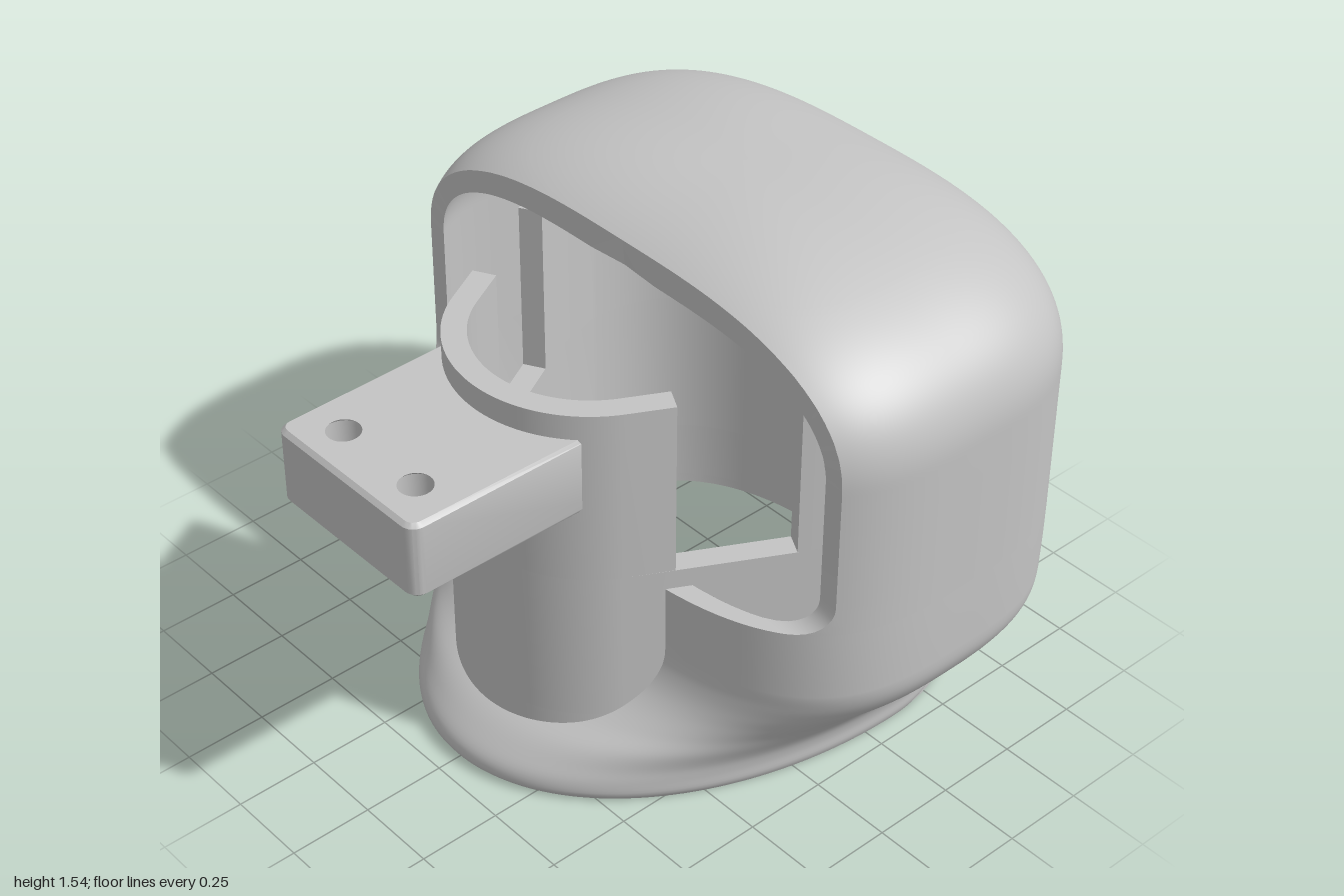
import * as THREE from 'three';
import { mergeVertices, toCreasedNormals } from 'three/addons/utils/BufferGeometryUtils.js';

const ZC = -0.36;        // depth of the widest section
const WALL = 0.07;
const CUT = 0.06;        // plane of the hood opening
const SILL = 0.64;       // height of the front rim
const SHOULDER = 1.1;    // where the dome starts

// Flare profile: y, half width, front z, back z, front exponent, back exponent
const FLARE = [
  [0, 0.69, 0.67, -0.9, 2, 2.05], [0.02, 0.698, 0.685, -0.908, 2, 2.05], [0.06, 0.7, 0.68, -0.91, 2, 2.07],
  [0.1, 0.712, 0.645, -0.915, 2.03, 2.15], [0.15, 0.745, 0.58, -0.925, 2.12, 2.3],
  [0.2, 0.788, 0.48, -0.94, 2.27, 2.48], [0.25, 0.837, 0.395, -0.955, 2.47, 2.67],
  [0.3, 0.88, 0.335, -0.97, 2.7, 2.83], [0.36, 0.912, 0.295, -0.983, 2.95, 2.95],
  [0.42, 0.92, 0.28, -0.99, 3.15, 3], [SILL, 0.92, 0.28, -1, 3.2, 3],
];

// Rounded section: angle 0 is the front, PI/2 is +x
function sectionPoint(t, a, zf, zb, nf, nb) {
  const s = Math.sin(t), c = Math.cos(t);
  const n = c > 0 ? nf : nb, b = c > 0 ? zf - ZC : ZC - zb;
  const r = 1 / Math.pow(Math.abs(s) ** n + Math.abs(c) ** n, 1 / n);
  return [a * r * s, ZC + b * r * c];
}

function flareAt(y) {
  let i = 0;
  while (i < FLARE.length - 2 && y > FLARE[i + 1][0]) i++;
  // Cubic blend through the neighbouring profile rows
  const p = [i - 1, i, i + 1, i + 2].map(k => FLARE[Math.min(FLARE.length - 1, Math.max(0, k))]);
  const h = p[2][0] - p[1][0], u = (y - p[1][0]) / h;
  return [1, 2, 3, 4, 5].map(k => {
    const m1 = (p[2][k] - p[0][k]) / (p[2][0] - p[0][0]) * h;
    const m2 = (p[3][k] - p[1][k]) / (p[3][0] - p[1][0]) * h;
    return (2 * u ** 3 - 3 * u * u + 1) * p[1][k] + (u ** 3 - 2 * u * u + u) * m1
      + (3 * u * u - 2 * u ** 3) * p[2][k] + (u ** 3 - u * u) * m2;
  });
}

// Liner outline: front arc, straight flanks, rounded back; d is the inset
const ARC_Z = 0.17, ARC_R = 0.4, ARC_END = 1.072;
const flankX = (z, d) => 0.4 + 0.545 * (0.27 - z) - 1.14 * d;
const flank = (z, d) => [flankX(z, d), z];
function linerArc(d) {
  return Array.from({ length: 25 }, (_, i) => {
    const t = ARC_END * i / 24;
    return [(ARC_R - d) * Math.sin(t), ARC_Z + (ARC_R - d) * Math.cos(t)];
  });
}
function linerBack(d) {
  return Array.from({ length: 41 }, (_, i) =>
    sectionPoint(Math.PI / 2 + Math.PI / 2 * i / 40, 0.69 - d, 0, -0.87 + d, 2.35, 2.35));
}
const linerHalf = d => [...linerArc(d), flank(-0.1, d), flank(-0.19, d), ...linerBack(d)];
const insideLiner = (x, z) =>
  Math.hypot(x, z - ARC_Z) < ARC_R - 0.03 || (z < 0.36 && z > -0.1 && x < flankX(z, 0.03));

const mirrorX = pts => pts.map(([x, z]) => [-x, z]).reverse();
const toV2 = pts => pts.map(([x, z]) => new THREE.Vector2(x, -z));
const closedLoop = half => [...half, ...mirrorX(half).slice(1, -1)];
// Closed outline of a mirrored wall, from half outlines starting at x = 0
const strip = (o, i) => [...o, ...i.slice().reverse(), ...mirrorX(i).reverse().slice(1), ...mirrorX(o).slice(0, -1)];

// Plan outline extruded upwards from y0 to y1
function extrudeUp(outline, holes, y0, y1, bevel = 0) {
  const shape = new THREE.Shape(toV2(outline));
  for (const h of holes) shape.holes.push(new THREE.Path(toV2(h)));
  const geo = new THREE.ExtrudeGeometry(shape, {
    depth: y1 - y0 - 2 * bevel, bevelEnabled: bevel > 0, bevelSize: bevel,
    bevelThickness: bevel, bevelOffset: -bevel, bevelSegments: 1,
  });
  geo.rotateX(-Math.PI / 2).translate(0, y0 + bevel, 0);
  return toCreasedNormals(geo, 0.5);
}

// Surface through rows of points
function skin(rows, flip) {
  const w = rows[0].length, index = [];
  for (let i = 0; i < rows.length - 1; i++) {
    for (let j = 0; j < w - 1; j++) {
      const a = i * w + j, b = a + 1, c = a + w, d = c + 1;
      if (flip) index.push(a, c, b, b, c, d);
      else index.push(a, b, c, b, d, c);
    }
  }
  let geo = new THREE.BufferGeometry();
  geo.setAttribute('position', new THREE.Float32BufferAttribute(rows.flat(2), 3));
  geo.setIndex(index);
  geo = mergeVertices(geo, 1e-5);
  geo.computeVertexNormals();
  return geo;
}

// One shell row, opened at the front where the liner or the hood cut removes it
function shellRow({ y, s, cut }, inset) {
  let dims, yy = y;
  if (s < 1) {
    const k = inset ? Math.pow(s, 0.724) : s;
    const rise = Math.pow(Math.max(0, 1 - Math.pow(k, 2.4)), 1 / 2.4);
    yy = SHOULDER + (0.44 - inset) * rise;
    dims = [(0.92 - inset) * k, ZC + (0.64 - inset) * k, ZC - (0.64 - inset) * k, 3.2, 3];
  } else {
    // The wall thins towards the foot
    const d = inset * (0.5 + 0.5 * THREE.MathUtils.smoothstep(y, 0.1, 0.4));
    const [a, zf, zb, nf, nb] = flareAt(Math.min(y, SILL));
    dims = [a - d, zf - d, zb + d, nf, nb];
  }
  // Squarer inner corners keep the lip an even width
  if (inset) dims[3] += 0.8 * THREE.MathUtils.smoothstep(y, 0.3, SILL);
  let t0 = 0;
  for (; t0 < 1.6; t0 += 0.001) {
    const [x, z] = sectionPoint(t0, ...dims);
    if (!(z > cut || (y <= SILL && s === 1 && insideLiner(x, z)))) break;
  }
  const M = 180;
  return Array.from({ length: M + 1 }, (_, j) => {
    const t = THREE.MathUtils.clamp(2 * Math.PI * j / M, t0, 2 * Math.PI - t0);
    const [x, z] = sectionPoint(t, ...dims);
    return [x, yy, z];
  });
}

export function createModel() {
  const group = new THREE.Group();
  const grey = new THREE.MeshStandardMaterial({ color: 0xc4c4c4, side: THREE.DoubleSide });
  grey.name = 'grey plastic';
  const add = (name, geo) => {
    const mesh = new THREE.Mesh(geo, grey);
    mesh.name = name;
    group.add(mesh);
  };

  // Shell levels: flare, rim, fillet, straight sides, dome
  const levels = [];
  for (let i = 0; i <= 42; i++) levels.push({ y: i * 0.01, s: 1, cut: 9 });
  levels.push({ y: 0.53, s: 1, cut: 9 });
  for (let i = 0; i <= 14; i++) levels.push({ y: SILL, s: 1, cut: 0.28 - 0.13 * i / 14 });
  for (let i = 1; i <= 8; i++) {
    const t = Math.PI / 2 * i / 8;
    levels.push({ y: SILL + 0.09 * (1 - Math.cos(t)), s: 1, cut: 0.15 - 0.09 * Math.sin(t) });
  }
  for (const y of [0.85, 1, SHOULDER]) levels.push({ y, s: 1, cut: CUT });
  const scales = Array.from({ length: 60 }, (_, i) =>
    Math.min(0.99999, Math.pow(Math.max(1e-6, Math.cos(Math.PI / 2 * (i + 1) / 60)), 2 / 2.4)));
  // Extra levels where the opening closes over the top
  const apex = (CUT - ZC) / 0.64;
  for (let i = 0; i <= 10; i++) scales.push(apex + 0.03 * (i / 10) ** 3);
  scales.sort((a, b) => b - a);
  for (const s of scales) levels.push({ y: SHOULDER, s, cut: CUT });
  const outer = levels.map(l => shellRow(l, 0));
  const inner = levels.map(l => shellRow(l, WALL));
  add('outerShell', skin(outer, false));
  add('innerShell', skin(inner, true));

  // Lip joining both skins around the opening
  const last = outer[0].length - 1;
  add('openingLipLeft', toCreasedNormals(skin(outer.map((r, i) => [inner[i][0], r[0]]), false), 0.6));
  add('openingLipRight', toCreasedNormals(skin(outer.map((r, i) => [r[last], inner[i][last]]), false), 0.6));

  // Foot ring, notched on each side below the liner ports
  const foot = Array.from({ length: 120 }, (_, i) =>
    sectionPoint(i / 120 * Math.PI * 2, ...FLARE[0].slice(1)));
  const notch = [flank(0.155, WALL), [0.53, 0.18], [0.59, 0.06], [0.64, -0.1], flank(-0.13, WALL)];
  const notchedHalf = [...linerArc(WALL), ...notch, flank(-0.19, WALL), ...linerBack(WALL)];
  add('footRing', extrudeUp(foot, [closedLoop(notchedHalf)], 0, 0.03));

  // Liner walls: front column and back, ending in square faces beside the gaps
  const walls = (name, zFront, zBack, y0, y1) => {
    const frontOut = [...linerArc(0), flank(zFront, 0)], frontIn = [...linerArc(WALL), flank(zFront - 0.034, WALL)];
    const backHalf = (d, z) => [flank(z, d), flank(-0.19, d), ...linerBack(d)].reverse();
    add('frontColumn' + name, extrudeUp(strip(frontOut, frontIn), [], y0, y1));
    add('linerBack' + name, extrudeUp(strip(backHalf(0, zBack), backHalf(WALL, zBack - 0.034)), [], y0, y1));
  };
  walls('Foot', 0.19, -0.1, 0.005, 0.22);
  walls('Upper', 0.24, -0.055, 0.7, 1.24);
  add('linerRing', extrudeUp(closedLoop(linerHalf(0)), [closedLoop(linerHalf(WALL))], 0.22, 0.7));

  // Mounting tab with two screw holes, its root following the column
  const tab = [];
  for (let i = 0; i <= 12; i++) {
    const x = 0.285 * i / 12;
    tab.push([x, ARC_Z + Math.sqrt(0.365 ** 2 - x * x)]);
  }
  for (let i = 0; i <= 6; i++) {
    const t = Math.PI / 2 * i / 6;
    tab.push([0.245 + 0.04 * Math.cos(t), 0.96 + 0.04 * Math.sin(t)]);
  }
  const hole = x => Array.from({ length: 32 }, (_, i) =>
    [x + 0.06 * Math.cos(i * Math.PI / 16), 0.88 + 0.06 * Math.sin(i * Math.PI / 16)]);
  add('mountingTab', extrudeUp([...tab, ...mirrorX(tab).slice(0, -1)], [hole(0.15), hole(-0.15)], 0.93, 1.165, 0.012));

  return group;
}
